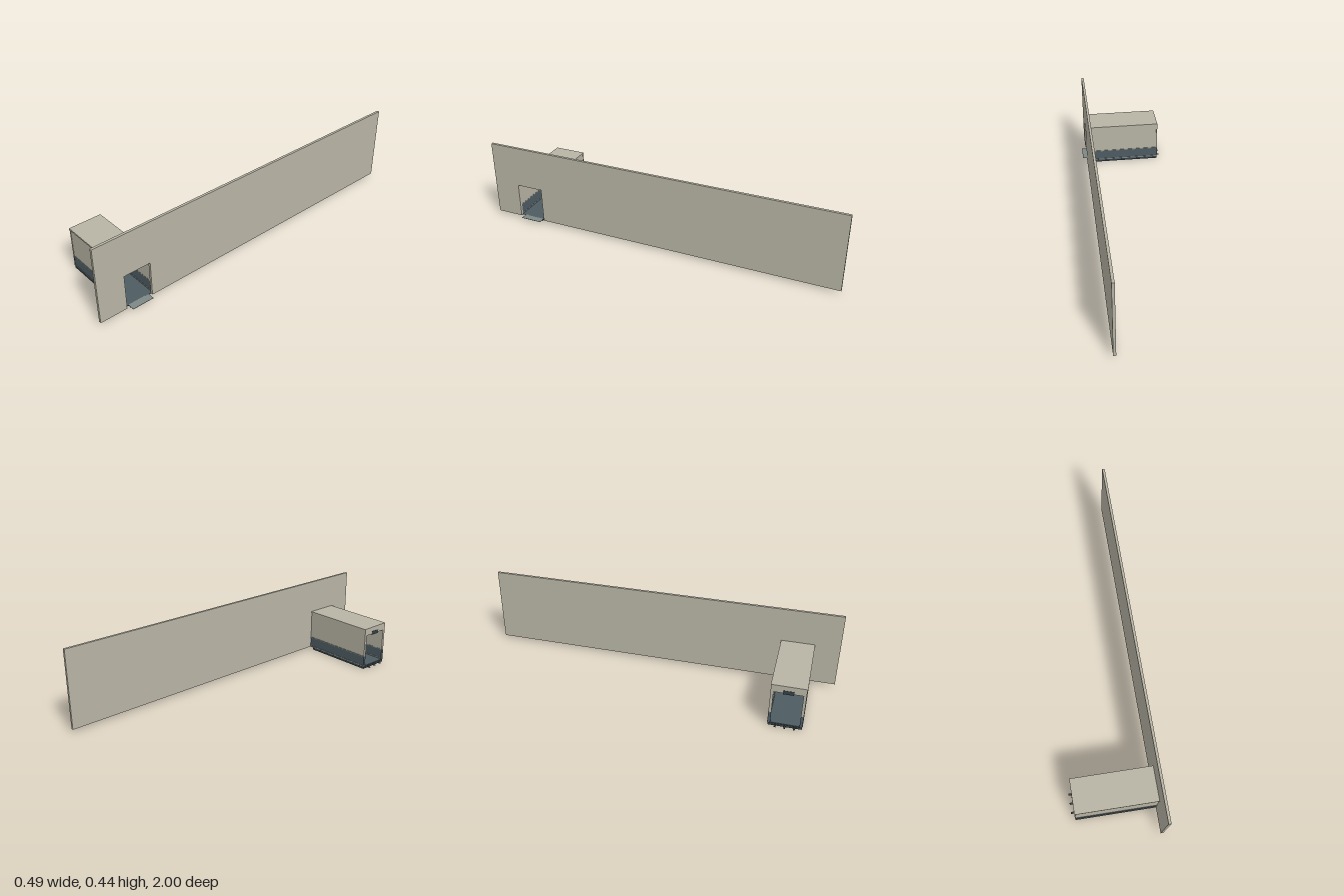
import * as THREE from 'three';

const mat = (name, color) => {
  const m = new THREE.MeshStandardMaterial({ color });
  m.name = name;
  return m;
};

export function createModel() {
  const group = new THREE.Group();
  const cream = mat('cream panel', 0xb8b5a5);
  const slate = mat('slate band', 0x4e5c63);
  const grey = mat('grey trim', 0x7d8887);
  const dark = mat('dark underside', 0x343f44);

  // Box given by its lower and upper bounds
  const box = (name, m, x0, x1, y0, y1, z0, z1) => {
    const mesh = new THREE.Mesh(new THREE.BoxGeometry(x1 - x0, y1 - y0, z1 - z0), m);
    mesh.position.set((x0 + x1) / 2, (y0 + y1) / 2, (z0 + z1) / 2);
    mesh.name = name;
    group.add(mesh);
    return mesh;
  };

  // Long wall with a doorway cut up from its lower edge (shape x = -z)
  const outline = [[-1, 0.016], [-0.85, 0.016], [-0.85, 0.213], [-0.7, 0.213],
    [-0.7, 0.016], [1, 0.016], [1, 0.445], [-1, 0.445]];
  const shape = new THREE.Shape(outline.map(([a, b]) => new THREE.Vector2(a, b)));
  const wallGeo = new THREE.ExtrudeGeometry(shape, { depth: 0.014, bevelEnabled: false });
  wallGeo.rotateY(Math.PI / 2);
  const wall = new THREE.Mesh(wallGeo, cream);
  wall.position.x = 0.207;
  wall.name = 'longWall';
  group.add(wall);

  // Tunnel shell: sides in stacked strips, mirrored about the tunnel axis
  const zc = 0.772, x0 = -0.228, x1 = 0.207;
  const side = (name, m, s, a, b, y0, y1, inner, outer) => {
    const p = zc + s * inner, q = zc + s * outer;
    box(name, m, a, b, y0, y1, Math.min(p, q), Math.max(p, q));
  };
  for (const s of [-1, 1]) {
    side('upperSidePanel', cream, s, x0, x1, 0.082, 0.243, 0.082, 0.088);
    side('lowerSideBand', slate, s, x0, x1, 0.023, 0.077, 0.082, 0.089);
    side('upperTrim', grey, s, -0.23, x1, 0.077, 0.082, 0.081, 0.091);
    side('lowerTrim', grey, s, -0.23, x1, 0.016, 0.023, 0.081, 0.091);
    // Far end posts
    side('endPost', cream, s, -0.23, -0.224, 0.082, 0.243, 0.075, 0.09);
    side('endPostBase', slate, s, -0.23, -0.224, 0.016, 0.082, 0.075, 0.09);
  }
  box('roof', cream, -0.23, x1, 0.243, 0.252, zc - 0.092, zc + 0.092);
  box('endHeader', cream, -0.23, -0.224, 0.21, 0.243, zc - 0.09, zc + 0.09);
  box('headerPlate', dark, -0.231, -0.222, 0.204, 0.226, zc - 0.028, zc + 0.028);

  // Floor and underframe
  box('floor', slate, -0.228, x1, 0.014, 0.017, zc - 0.082, zc + 0.082);
  box('underframe', dark, -0.23, 0.187, 0.001, 0.014, zc - 0.088, zc + 0.088);

  // Coupling bars passing out of both ends
  for (const dz of [-0.049, 0, 0.049]) {
    box('couplingBar', dark, -0.248, 0.205, 0.003, 0.007, zc + dz - 0.005, zc + dz + 0.005);
  }

  // Threshold plate and its supports
  box('thresholdPlate', grey, 0.203, 0.245, 0.0155, 0.017, zc - 0.06, zc + 0.06);
  for (const x of [0.203, 0.216]) {
    box('plateSupport', dark, x, x + 0.004, 0.01, 0.0155, zc - 0.06, zc + 0.06);
  }
  box('base', dark, -0.2, 0.16, 0, 0.001, zc - 0.08, zc + 0.08);
  return group;
}
